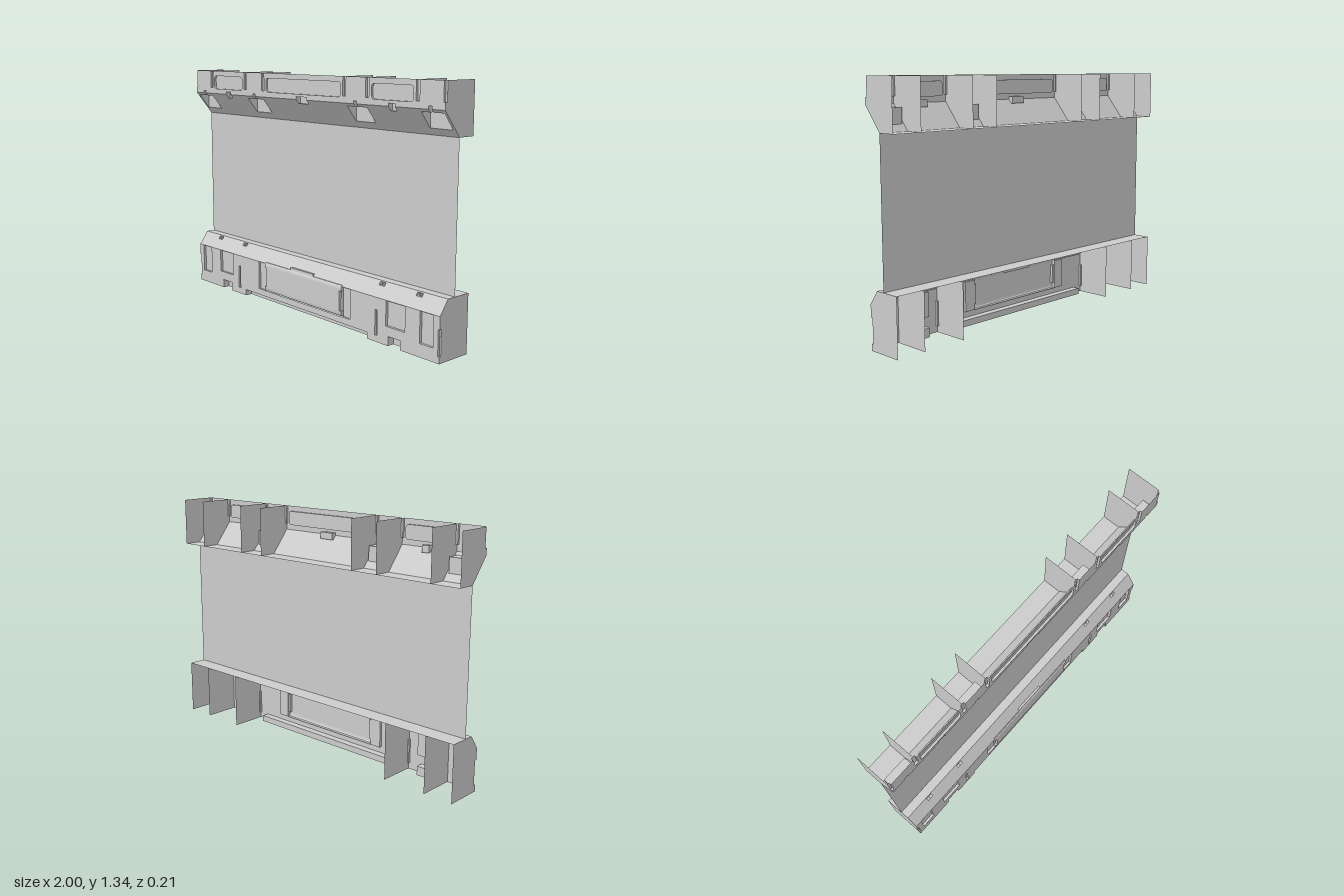
import * as THREE from 'three';

const material = new THREE.MeshStandardMaterial({ color: 0xcccccc, side: THREE.DoubleSide });
const BACK = -0.105;

function named(name, geometry) {
  const mesh = new THREE.Mesh(geometry, material);
  mesh.name = name;
  return mesh;
}

function fromQuads(quads) {
  const pos = [];
  for (const [a, b, c, d] of quads) pos.push(...a, ...b, ...c, ...a, ...c, ...d);
  const g = new THREE.BufferGeometry();
  g.setAttribute('position', new THREE.Float32BufferAttribute(pos, 3));
  g.computeVertexNormals();
  return g;
}

// Front skin swept along x from a [z, y] profile (bottom to top).
// Each cut [x0, x1, y0, y1, z] sinks a rectangle to depth z, with side walls; z = null leaves a hole.
function skin(profile, x0, x1, cuts) {
  const sorted = (list, lo, hi) => [...new Set(list)].filter(v => v >= lo && v <= hi).sort((a, b) => a - b);
  const yLo = profile[0][1], yHi = profile[profile.length - 1][1];
  const xs = sorted([x0, x1, ...cuts.flatMap(c => [c[0], c[1]])], x0, x1);
  const ys = sorted([...profile.map(p => p[1]), ...cuts.flatMap(c => [c[2], c[3]])], yLo, yHi);
  const profileZ = y => {
    let i = 1;
    while (i < profile.length - 1 && y > profile[i][1]) i++;
    const [za, ya] = profile[i - 1], [zb, yb] = profile[i];
    return za + (zb - za) * (y - ya) / (yb - ya);
  };
  // depth of a cell at its lower and upper edge
  const cell = (i, j) => {
    if (i < 0 || j < 0) return null;
    const cx = (xs[i] + xs[i + 1]) / 2, cy = (ys[j] + ys[j + 1]) / 2;
    const cut = cuts.find(c => cx > c[0] && cx < c[1] && cy > c[2] && cy < c[3]);
    if (cut) return cut[4] === null ? null : [cut[4], cut[4]];
    return [profileZ(ys[j]), profileZ(ys[j + 1])];
  };
  const quads = [];
  for (let i = 0; i < xs.length - 1; i++) {
    for (let j = 0; j < ys.length - 1; j++) {
      const c = cell(i, j);
      if (!c) continue;
      const [a, b, lo, hi] = [xs[i], xs[i + 1], ys[j], ys[j + 1]];
      quads.push([[a, lo, c[0]], [b, lo, c[0]], [b, hi, c[1]], [a, hi, c[1]]]);
      const l = cell(i - 1, j), d = cell(i, j - 1);
      if (l && (l[0] !== c[0] || l[1] !== c[1])) {
        quads.push([[a, lo, l[0]], [a, lo, c[0]], [a, hi, c[1]], [a, hi, l[1]]]);
      }
      if (d && Math.abs(d[1] - c[0]) > 1e-6) {
        quads.push([[a, lo, d[1]], [b, lo, d[1]], [b, lo, c[0]], [a, lo, c[0]]]);
      }
    }
  }
  return fromQuads(quads);
}

// Thin upright plate with a [z, y] outline, standing at x
function plate(name, outline, x) {
  const g = new THREE.ShapeGeometry(new THREE.Shape(outline.map(([z, y]) => new THREE.Vector2(-z, y))));
  g.rotateY(Math.PI / 2);
  const mesh = named(name, g);
  mesh.position.x = x;
  return mesh;
}

// Flat strip from z0 to the back
function shelf(name, y, z0) {
  const g = new THREE.PlaneGeometry(2, z0 - BACK).rotateX(-Math.PI / 2);
  return named(name, g.translate(0, y, (z0 + BACK) / 2));
}

// Rounded sunken panel set in a rectangular opening
function roundedRecess(x0, x1, y0, y1, zFront, zBack) {
  const r = 0.018, m = 0.004;
  const path = new THREE.Shape();
  const [a, b, c, d] = [x0 + m, x1 - m, y0 + m, y1 - m];
  path.absarc(b - r, c + r, r, -Math.PI / 2, 0);
  path.absarc(b - r, d - r, r, 0, Math.PI / 2);
  path.absarc(a + r, d - r, r, Math.PI / 2, Math.PI);
  path.absarc(a + r, c + r, r, Math.PI, Math.PI * 1.5);
  path.closePath();
  const frame = new THREE.Shape([[x0, y0], [x1, y0], [x1, y1], [x0, y1]].map(p => new THREE.Vector2(...p)));
  frame.holes.push(path);
  const pts = path.getPoints(5);
  const rim = pts.slice(1).map((p, i) => {
    const q = pts[i];
    return [[q.x, q.y, zBack], [p.x, p.y, zBack], [p.x, p.y, zFront], [q.x, q.y, zFront]];
  });
  const group = new THREE.Group();
  group.name = 'roundedPanel';
  group.add(
    named('panelFrame', new THREE.ShapeGeometry(frame, 5).translate(0, 0, zFront)),
    named('panelFace', new THREE.ShapeGeometry(path, 5).translate(0, 0, zBack)),
    named('panelRim', fromQuads(rim)));
  return group;
}

const mirrored = list => list.flatMap(([a, b, ...rest]) => [[a, b, ...rest], [-b, -a, ...rest]]);

function createUpper() {
  const group = new THREE.Group();
  group.name = 'upperHousing';
  const ribs = [-1, -0.833, -0.5, -0.335, 0.335, 0.5, 0.833, 1];
  const panels = [[-0.81, -0.525], [-0.31, 0.31], [0.525, 0.81]];
  const cuts = [
    // grooves over the ribs
    ...ribs.map(x => [x - 0.011, x + 0.011, 1.235, 1.335, 0.088]),
    // openings for the rounded panels
    ...panels.map(([a, b]) => [a, b, 1.225, 1.31, null]),
    // lamp pockets in the slope and small notches along its upper edge
    ...mirrored([
      [0.845, 0.985, 1.105, 1.185, 0.022],
      [0.345, 0.487, 1.105, 1.185, 0.022],
      [0.9, 0.92, 1.185, 1.215, 0.07],
      [0.405, 0.425, 1.185, 1.215, 0.07],
      [0.645, 0.688, 1.178, 1.215, 0.072],
    ]),
    [-0.042, 0.042, 1.178, 1.215, 0.07],
  ];
  group.add(named('upperFront', skin([[-0.005, 1.07], [0.1, 1.2], [0.1, 1.335]], -1, 1, cuts)));
  group.add(shelf('upperFloor', 1.07, -0.005));
  for (const [a, b] of panels) group.add(roundedRecess(a, b, 1.225, 1.31, 0.1, 0.088));
  const outline = [[BACK, 1.07], [-0.005, 1.07], [0.1, 1.2], [0.1, 1.235], [0.088, 1.235], [0.088, 1.335], [BACK, 1.335]];
  for (const x of ribs) group.add(plate('upperRib', outline, x));
  return group;
}

function createLower() {
  const group = new THREE.Group();
  group.name = 'lowerHousing';
  const cuts = [
    [-0.325, 0.325, 0.07, 0.235, null], // opening behind the cover
    [-0.518, 0.518, 0, 0.035, 0.06], // toe recess
    ...mirrored([
      [0.325, 0.39, 0.07, 0.235, 0.086], // side tabs of the cover
      [0.875, 0.96, 0.07, 0.232, 0.085], // windows
      [0.648, 0.778, 0.1, 0.232, 0.085],
      [0.665, 0.75, 0, 0.05, 0.06], // foot notches
      [0.572, 0.588, 0.035, 0.17, 0.088], // grooves over the ribs
      [0.991, 1, 0.035, 0.17, 0.088],
      [0.56, 0.598, 0.288, 0.304, 0.035], // clip notches
      [0.812, 0.85, 0.288, 0.304, 0.035],
    ]),
  ];
  group.add(named('lowerFront', skin([[0.1, 0], [0.1, 0.235], [0.045, 0.31]], -1, 1, cuts)));
  group.add(shelf('lowerLedge', 0.31, 0.045));

  const top = [[0.1, 0.235], [0.045, 0.31], [BACK, 0.31], [BACK, 0]];
  const notched = [[0.1, 0], [0.1, 0.035], [0.088, 0.035], [0.088, 0.17], [0.1, 0.17], ...top];
  for (const s of [-1, 1]) {
    group.add(plate('lowerRib', notched, s));
    group.add(plate('lowerRib', [[0.1, 0], ...top], s * 0.833));
    group.add(plate('lowerRib', notched, s * 0.58));
  }

  // bulging cover with rounded top and bottom edges and a grip at each end
  const cover = [[0.086, 0.07], [0.099, 0.073], [0.104, 0.08], [0.106, 0.092],
    [0.106, 0.222], [0.104, 0.232], [0.098, 0.241], [0.086, 0.245]];
  const grips = mirrored([[0.311, 0.325, 0.1, 0.21, 0.09]]);
  group.add(named('cover', skin(cover, -0.325, 0.325, grips)));
  const end = [...cover.slice(0, 4), [0.106, 0.1], [0.09, 0.1], [0.09, 0.21], [0.106, 0.21], ...cover.slice(4)];
  for (const s of [-1, 1]) group.add(plate('coverEnd', end, s * 0.325));
  group.add(named('coverLatch', new THREE.BoxGeometry(0.19, 0.018, 0.02).translate(-0.003, 0.246, 0.088)));
  return group;
}

export function createModel() {
  const model = new THREE.Group();
  model.name = 'wallSection';
  model.add(createLower(), createUpper());
  // thin sheet between the housings
  model.add(named('wallSheet', new THREE.PlaneGeometry(2, 0.76).translate(0, 0.69, -0.005)));
  return model;
}
